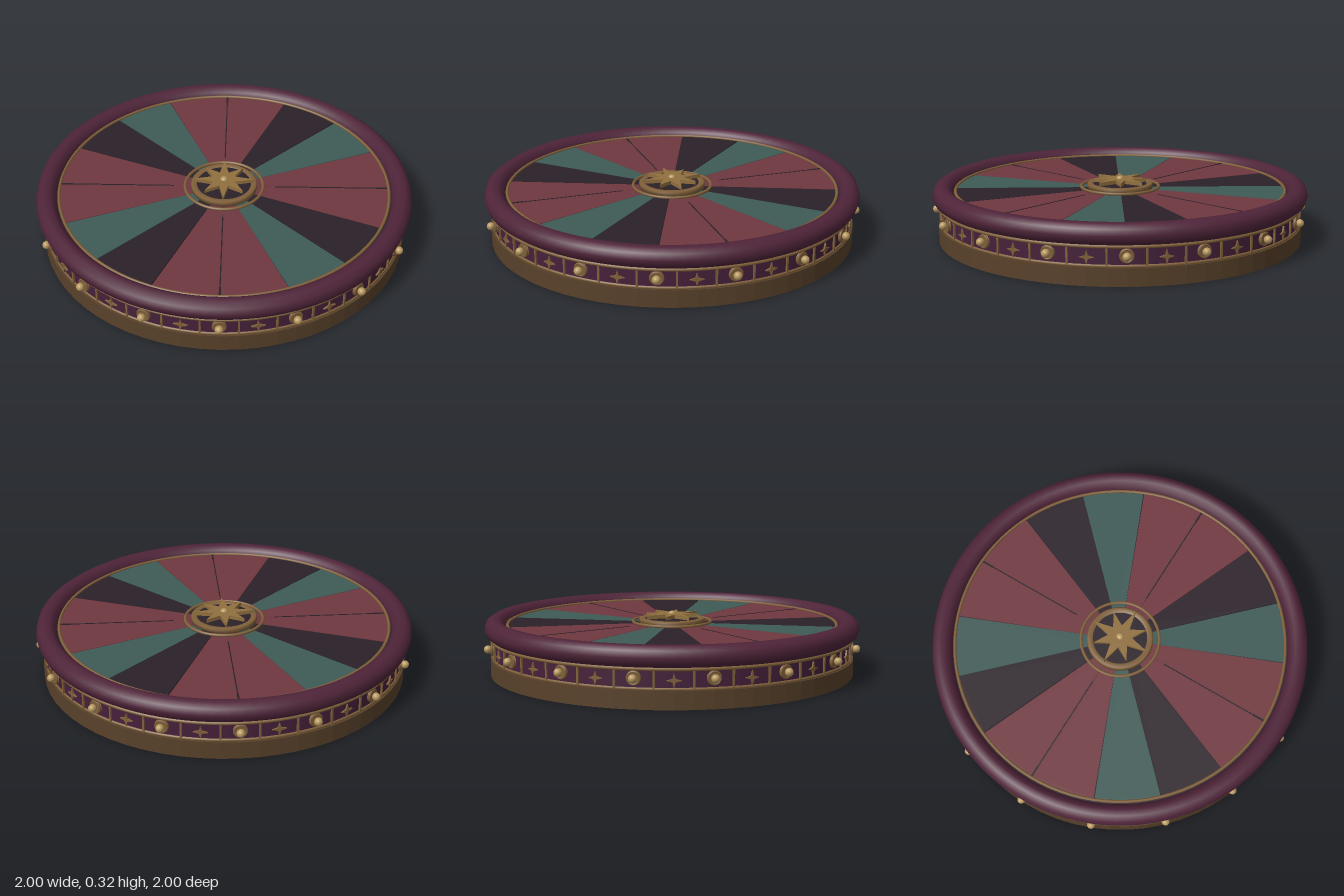
import * as THREE from 'three';

const mat = (color, extra = {}) => new THREE.MeshStandardMaterial({ color, ...extra });
const plum = mat(0x4f2439), wall = mat(0x45203a), gold = mat(0x80603a), brass = mat(0xb8985f);
const brown = mat(0x58412a, { flatShading: true }), dark = mat(0x2b2129);
const red = mat(0x70383f), teal = mat(0x3e5a56);
const TAU = Math.PI * 2;

function add(parent, name, geometry, material, x = 0, y = 0, z = 0) {
  const mesh = new THREE.Mesh(geometry, material);
  mesh.name = name;
  mesh.position.set(x, y, z);
  parent.add(mesh);
  return mesh;
}

// horizontal ring around the vertical axis
function ring(radius, tube, sides = 8) {
  return new THREE.TorusGeometry(radius, tube, sides, 96).rotateX(Math.PI / 2);
}

// star plate facing +z, points cycling through the listed tip radii
function star(points, tips, inner, depth) {
  const shape = new THREE.Shape();
  for (let i = 0; i < points * 2; i++) {
    const r = i % 2 ? inner : tips[(i / 2) % tips.length];
    const a = (i / (points * 2)) * TAU;
    shape[i ? 'lineTo' : 'moveTo'](r * Math.cos(a), r * Math.sin(a));
  }
  shape.closePath();
  return new THREE.ExtrudeGeometry(shape, { depth, bevelEnabled: false });
}

// flat floor wedge between two radii, lying in the xz plane
function wedge(r0, r1, a0, a1, depth) {
  const shape = new THREE.Shape();
  shape.absarc(0, 0, r1, a0, a1, false);
  shape.absarc(0, 0, r0, a1, a0, true);
  shape.closePath();
  return new THREE.ExtrudeGeometry(shape, { depth, bevelEnabled: false, curveSegments: 8 }).rotateX(-Math.PI / 2);
}

export function createModel() {
  const model = new THREE.Group();
  model.name = 'roundPlatform';

  // drum
  add(model, 'base', new THREE.CylinderGeometry(0.965, 0.965, 0.09, 64), brown, 0, 0.045, 0);
  add(model, 'sideBand', new THREE.CylinderGeometry(0.95, 0.95, 0.12, 96), wall, 0, 0.145, 0);
  add(model, 'lowerTrim', ring(0.949, 0.008), gold, 0, 0.095, 0);
  add(model, 'upperTrim', ring(0.957, 0.009), gold, 0, 0.19, 0);
  add(model, 'paddedRim', ring(0.938, 0.055, 10), plum, 0, 0.247, 0);

  // floor: dark underlay shows as seams between the coloured wedges
  add(model, 'floorUnderlay', new THREE.CylinderGeometry(0.9, 0.9, 0.05, 96), dark, 0, 0.228, 0);
  const colours = [red, teal, dark, red];
  const step = TAU / 16;
  for (let i = 0; i < 16; i++) {
    add(model, 'floorWedge', wedge(0.16, 0.865, i * step + 0.003, (i + 1) * step - 0.003, 0.008),
      colours[i % 4], 0, 0.252, 0);
  }
  // inlay strips along the two main axes
  for (let i = 0; i < 4; i++) {
    const arm = new THREE.Group();
    arm.name = 'axisInlay';
    arm.rotation.y = i * Math.PI / 2;
    add(arm, 'inlayStrip', new THREE.BoxGeometry(0.006, 0.004, 0.6), dark, 0, 0.26, 0.57);
    add(arm, 'inlayEnd', new THREE.BoxGeometry(0.01, 0.006, 0.06), dark, 0, 0.26, 0.835);
    model.add(arm);
  }
  add(model, 'floorTrim', ring(0.873, 0.008), gold, 0, 0.262, 0);

  // centre medallion
  const medallion = new THREE.Group();
  medallion.name = 'medallion';
  add(medallion, 'outerRing', ring(0.207, 0.008), gold, 0, 0.266, 0);
  add(medallion, 'disc', new THREE.CylinderGeometry(0.165, 0.165, 0.022, 64), dark, 0, 0.269, 0);
  const band = [[0.14, 0.276], [0.175, 0.258], [0.175, 0.28], [0.168, 0.286], [0.147, 0.286], [0.14, 0.276]];
  add(medallion, 'innerRing', new THREE.LatheGeometry(band.map(p => new THREE.Vector2(...p)), 64), gold);
  add(medallion, 'compassStar', star(8, [0.16, 0.14], 0.062, 0.02).rotateX(-Math.PI / 2),
    mat(0x91703f), 0, 0.288, 0);
  add(medallion, 'knob', new THREE.SphereGeometry(0.02, 16, 10).scale(1, 0.75, 1), brass, 0, 0.306, 0);
  model.add(medallion);

  // side ornaments: lamps and four-pointed stars alternate, a divider between each pair
  for (let i = 0; i < 32; i++) {
    const bay = new THREE.Group();
    bay.name = i % 2 ? 'starBay' : 'lampBay';
    bay.rotation.y = i * TAU / 32;
    if (i % 2) {
      add(bay, 'sideStar', star(4, [0.036], 0.011, 0.012), gold, 0, 0.137, 0.947);
    } else {
      add(bay, 'lampSocket', new THREE.CylinderGeometry(0.028, 0.036, 0.016, 20).rotateX(Math.PI / 2),
        gold, 0, 0.147, 0.955);
      add(bay, 'lampCollar', new THREE.TorusGeometry(0.03, 0.006, 6, 20), gold, 0, 0.147, 0.959);
      add(bay, 'lampBulb', new THREE.SphereGeometry(0.021, 14, 10), brass, 0, 0.147, 0.979);
    }
    const post = new THREE.Group();
    post.name = 'divider';
    post.rotation.y = TAU / 64;
    add(post, 'dividerBar', new THREE.BoxGeometry(0.01, 0.1, 0.016), gold, 0, 0.143, 0.951);
    bay.add(post);
    model.add(bay);
  }
  return model;
}
